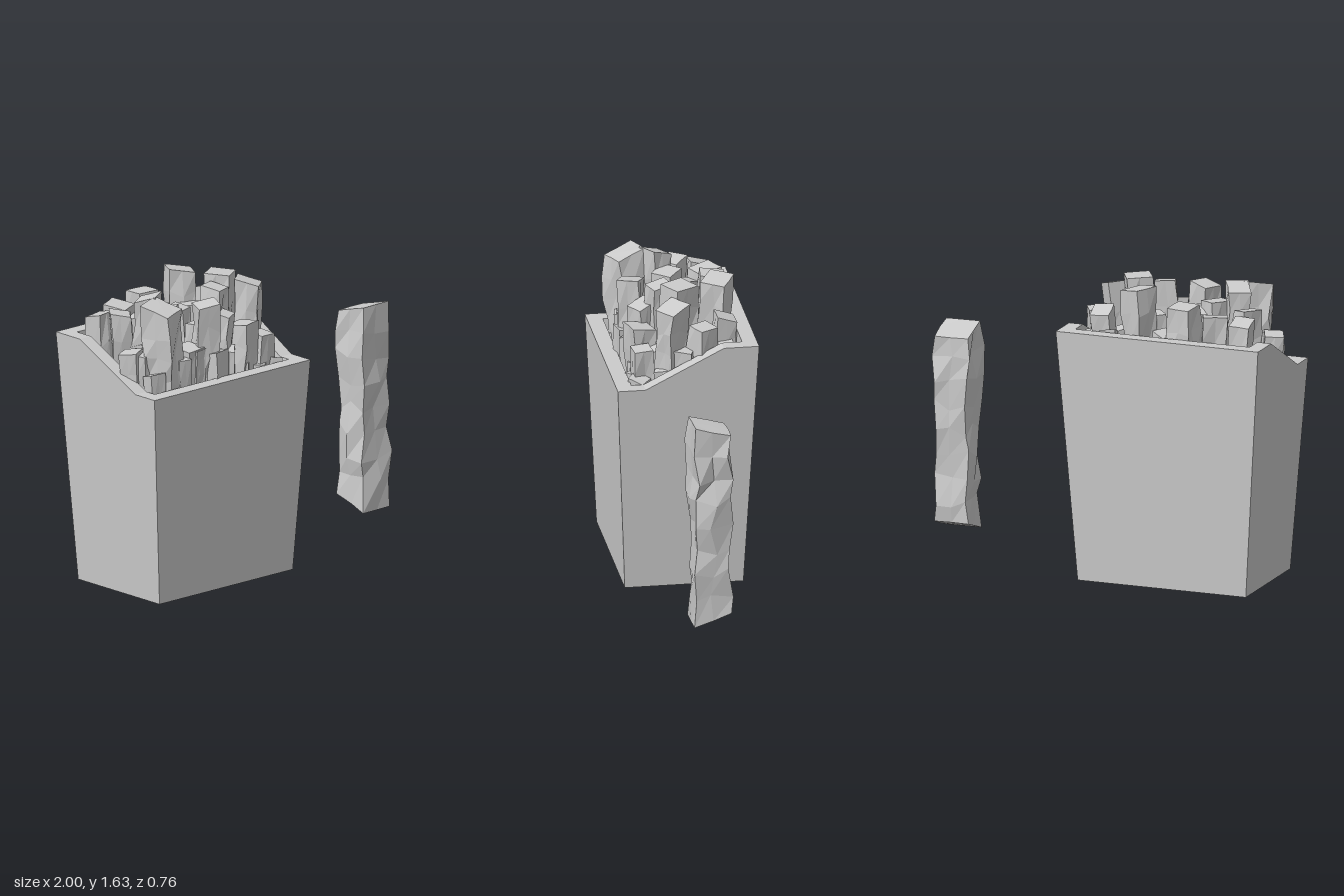
import * as THREE from 'three';

const CX = -0.418; // middle of the carton in x
const material = new THREE.MeshStandardMaterial({ color: 0xcccccc, flatShading: true });

// Small seeded random generator, returns -1..1
function seeded(seed) {
  let s = seed * 7919 + 17;
  return () => {
    s = (s * 16807) % 2147483647;
    return (s / 2147483647) * 2 - 1;
  };
}

// Hollow tapered carton: loops run outer bottom, outer rim, inner rim, inner floor
function cartonGeometry() {
  const halfX = (y) => 0.4825 + 0.0707 * y;
  const loop = (heights, zs, inset) => {
    const side = zs.map((z, i) => [halfX(heights[i]) - inset, heights[i], z]);
    const right = side.map(([x, y, z]) => [CX + x, y, z]);
    const left = side.map(([x, y, z]) => [CX - x, y, z]).reverse();
    return [...right, ...left];
  };
  const rim = [1.16, 1.16, 1.38, 1.38];
  const loops = [
    loop([0, 0, 0, 0], [0.33, 0.23, -0.19, -0.31], 0),
    loop(rim, [0.38, 0.23, -0.19, -0.38], 0),
    loop(rim, [0.295, 0.23, -0.19, -0.3], 0.08),
    loop([0.08, 0.08, 0.08, 0.08], [0.25, 0.23, -0.19, -0.235], 0.08),
  ];
  const n = 8;
  const index = [];
  for (let r = 0; r < 3; r++) {
    for (let i = 0; i < n; i++) {
      const a = r * n + i, b = r * n + (i + 1) % n;
      index.push(a, b, b + n, a, b + n, a + n);
    }
  }
  // Underside and inner floor
  for (let i = 1; i < n - 1; i++) {
    index.push(0, i + 1, i);
    index.push(3 * n, 3 * n + i, 3 * n + i + 1);
  }
  const g = new THREE.BufferGeometry();
  g.setAttribute('position', new THREE.Float32BufferAttribute(loops.flat(2), 3));
  g.setIndex(index);
  const flat = g.toNonIndexed();
  flat.computeVertexNormals();
  return flat;
}

// Knobbly square stick with slanted ends; shared corners move together
function fryGeometry(w, length, seed, jitter, topSlant, bottomSlant) {
  const g = new THREE.BoxGeometry(w, length, w, 2, 8, 2);
  const p = g.attributes.position;
  const rand = seeded(seed);
  const moved = new Map();
  for (let i = 0; i < p.count; i++) {
    const x = p.getX(i), y = p.getY(i), z = p.getZ(i);
    const key = [x, y, z].map((v) => Math.round(v * 1000)).join();
    if (!moved.has(key)) {
      const end = Math.abs(y) > length / 2 - 0.001;
      const k = end ? jitter * 0.25 : jitter;
      const slant = y > 0 ? topSlant : bottomSlant;
      const dy = end ? slant * z : rand() * length * 0.03;
      moved.set(key, [x + rand() * k, y + dy, z + rand() * k]);
    }
    p.setXYZ(i, ...moved.get(key));
  }
  const flat = g.toNonIndexed();
  flat.computeVertexNormals();
  return flat;
}

// Fry standing in the carton, leaning so its foot stays within the taper
function packedFry(x, z, top, w, turn, seed) {
  const rand = seeded(seed + 50);
  rand();
  const length = 1.1;
  const slant = rand() * 0.35;
  const mesh = new THREE.Mesh(fryGeometry(w, length, seed, w * 0.1, slant, -slant), material);
  mesh.name = 'fry';
  mesh.position.y = -length / 2 - Math.abs(slant) * w * 0.5;
  mesh.rotation.y = THREE.MathUtils.degToRad(turn);
  const pivot = new THREE.Group();
  pivot.name = 'packedFry';
  pivot.add(mesh);
  pivot.position.set(x, top, z);
  pivot.rotation.set(z * 0.16 + rand() * 0.02, 0, -(x - CX) * 0.16 + rand() * 0.02);
  return pivot;
}

export function createModel() {
  const model = new THREE.Group();
  model.name = 'friesCarton';

  const carton = new THREE.Mesh(cartonGeometry(), material);
  carton.name = 'carton';
  model.add(carton);

  // Main fries: x, z, top height, width, turn in degrees
  const main = [
    [-0.25, -0.22, 1.63, 0.14, 60], [-0.04, -0.23, 1.5, 0.11, 5],
    [-0.51, -0.23, 1.55, 0.13, -8], [-0.69, -0.22, 1.52, 0.13, 25],
    [-0.84, -0.21, 1.5, 0.11, 5], [-0.16, 0, 1.63, 0.14, 30],
    [-0.01, 0.06, 1.58, 0.13, 40], [-0.19, 0.21, 1.41, 0.13, 15],
    [-0.06, 0.22, 1.32, 0.1, 5], [-0.31, 0.18, 1.49, 0.11, 30],
    [-0.46, 0.22, 1.57, 0.12, 65], [-0.57, 0.2, 1.34, 0.12, 5],
    [-0.77, 0.2, 1.62, 0.16, 20], [-0.9, 0.1, 1.36, 0.1, 25],
    [-0.61, 0, 1.54, 0.12, 50], [-0.72, 0.04, 1.63, 0.12, 30],
    [-0.41, 0.09, 1.42, 0.09, 10], [-0.28, 0.09, 1.6, 0.11, 20],
    [-0.51, -0.04, 1.5, 0.11, 35], [-0.29, -0.1, 1.46, 0.1, 45],
    [-0.4, -0.06, 1.48, 0.09, 20], [-0.4, -0.23, 1.4, 0.09, 60],
    [0.03, -0.1, 1.46, 0.11, 30], [-0.82, -0.07, 1.53, 0.11, 50],
    [-0.65, -0.12, 1.47, 0.1, 40],
  ];
  const fries = new THREE.Group();
  fries.name = 'fries';
  main.forEach((f, i) => fries.add(packedFry(...f, i + 1)));

  // Shorter fries filling the gaps
  const rand = seeded(5);
  for (let i = 0; i < 9; i++) {
    for (let j = 0; j < 5; j++) {
      const x = CX + (i - 4) * 0.106 + rand() * 0.02;
      const z = (j - 2) * 0.115 + rand() * 0.02;
      const top = 1.28 + rand() * 0.09 - (j - 2) * 0.015;
      fries.add(packedFry(x, z, top, 0.09 + rand() * 0.015, rand() * 45, 100 + i * 5 + j));
    }
  }
  model.add(fries);

  // Single large fry beside the carton
  const single = new THREE.Mesh(fryGeometry(0.195, 1.08, 3, 0.022, 0.27, -0.35), material);
  single.name = 'looseFry';
  single.position.set(0.88, 0.69, 0);
  single.rotation.y = 0.03;
  model.add(single);

  return model;
}
